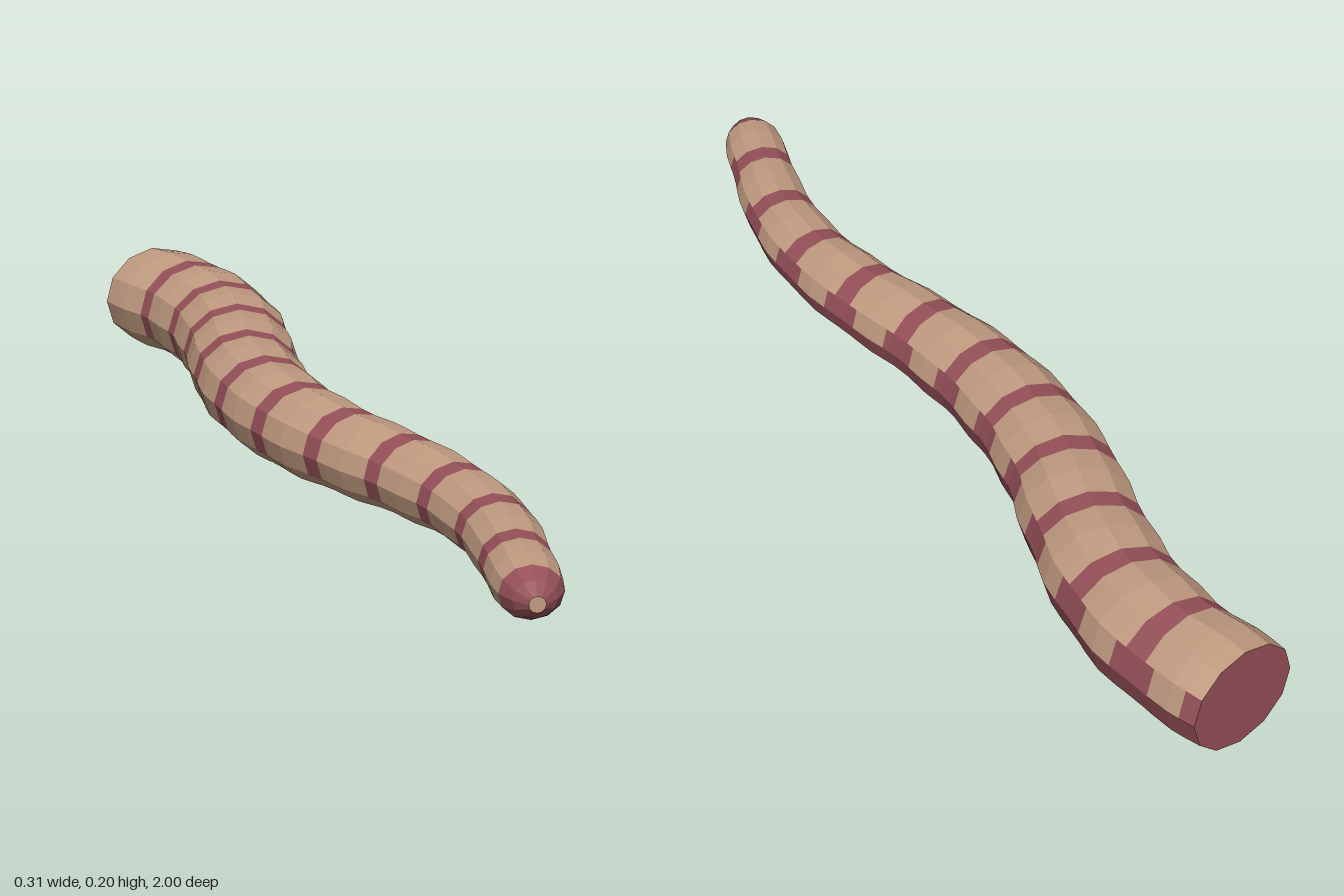
import * as THREE from 'three';

const SIDES = 12;
const FRONT = 0.995, STEP = 1.97 / 12; // segment length equals spine point spacing
const FIRST_BAND = 0.81;

// Spine: sideways offset and half height at equal steps from nose to rear
const spineX = [-0.05, -0.005, 0.035, 0.045, 0.022, -0.02, -0.05, -0.055, -0.035, 0.008, 0.04, 0.038, 0];
const halfHeight = [0.048, 0.053, 0.058, 0.063, 0.069, 0.074, 0.08, 0.085, 0.089, 0.093, 0.096, 0.098, 0.098];
const spine = new THREE.CatmullRomCurve3(
  spineX.map((x, i) => new THREE.Vector3(x, halfHeight[i], FRONT - i * STEP)), false, 'catmullrom', 0.5);

// One elliptical ring standing square to the spine
function makeRing({ z, size = 1 }) {
  const t = THREE.MathUtils.clamp((FRONT - z) / (STEP * 12), 0, 1);
  const p = spine.getPoint(t), d = spine.getTangent(t);
  const len = Math.hypot(d.x, d.z);
  const pinch = 1 - 0.025 * Math.cos(2 * Math.PI * (z - FIRST_BAND) / STEP);
  const r = p.y * size * pinch;
  const points = Array.from({ length: SIDES }, (_, j) => {
    const a = j / SIDES * Math.PI * 2;
    const side = Math.cos(a) * r * (size < 0.5 ? 1 : 1.15);
    return new THREE.Vector3(p.x - d.z / len * side, 0.1 + Math.sin(a) * r, p.z + d.x / len * side);
  });
  return { points, centre: new THREE.Vector3(p.x, 0.1, p.z) };
}

// Rings: tapered nose, band edges at every pinch, one ring on each bulge
function ringPlan() {
  const plan = [
    { z: FRONT, size: 0.3, kind: 'nose' }, { z: 0.972, size: 0.68, kind: 'nose' },
    { z: 0.94, size: 0.95, kind: 'plain' }, { z: 0.892, kind: 'plain' },
  ];
  for (let k = 0; k < 11; k++) {
    const s = FIRST_BAND - k * STEP;
    plan.push({ z: s + 0.04, kind: 'edge' }, { z: s + 0.02, kind: 'band' }, { z: s - 0.02, kind: 'edge' },
      { z: s - 0.04, kind: 'plain' }, { z: s - STEP / 2, kind: 'plain' });
  }
  plan.push({ z: -0.94, kind: 'edge' }, { z: -0.975, kind: 'end' });
  return plan;
}

// Side stripe low on the left flank, bands over the back, plain belly
function isMarked(kind, j) {
  if (kind === 'nose' || j === 11) return true;
  if (kind === 'band') return j <= 6;
  return kind === 'edge' && j === 0;
}

function facetedMesh(name, corners, material) {
  const geometry = new THREE.BufferGeometry().setFromPoints(corners);
  geometry.computeVertexNormals();
  const mesh = new THREE.Mesh(geometry, material);
  mesh.name = name;
  return mesh;
}

export function createModel() {
  const skin = new THREE.MeshStandardMaterial({ color: 0xc09a80, flatShading: true });
  skin.name = 'tan skin';
  const marking = new THREE.MeshStandardMaterial({ color: 0x955058, flatShading: true });
  marking.name = 'dull red marking';

  const plan = ringPlan();
  const rings = plan.map(makeRing);
  const skinCorners = [], markCorners = [];
  for (let i = 0; i < rings.length - 1; i++) {
    for (let j = 0; j < SIDES; j++) {
      const n = (j + 1) % SIDES;
      const a = rings[i].points[j], b = rings[i].points[n];
      const c = rings[i + 1].points[n], d = rings[i + 1].points[j];
      (isMarked(plan[i].kind, j) ? markCorners : skinCorners).push(a, d, c, a, c, b);
    }
  }

  // Flat discs closing both ends
  const tipCorners = [], rearCorners = [];
  const tip = rings[0], rear = rings[rings.length - 1];
  for (let j = 0; j < SIDES; j++) {
    const n = (j + 1) % SIDES;
    tipCorners.push(tip.centre, tip.points[j], tip.points[n]);
    rearCorners.push(rear.centre, rear.points[n], rear.points[j]);
  }

  const group = new THREE.Group();
  group.name = 'segmentedBody';
  group.add(
    facetedMesh('bodySkin', skinCorners, skin),
    facetedMesh('bodyMarkings', markCorners, marking),
    facetedMesh('noseTip', tipCorners, skin),
    facetedMesh('rearCap', rearCorners, marking));
  return group;
}
